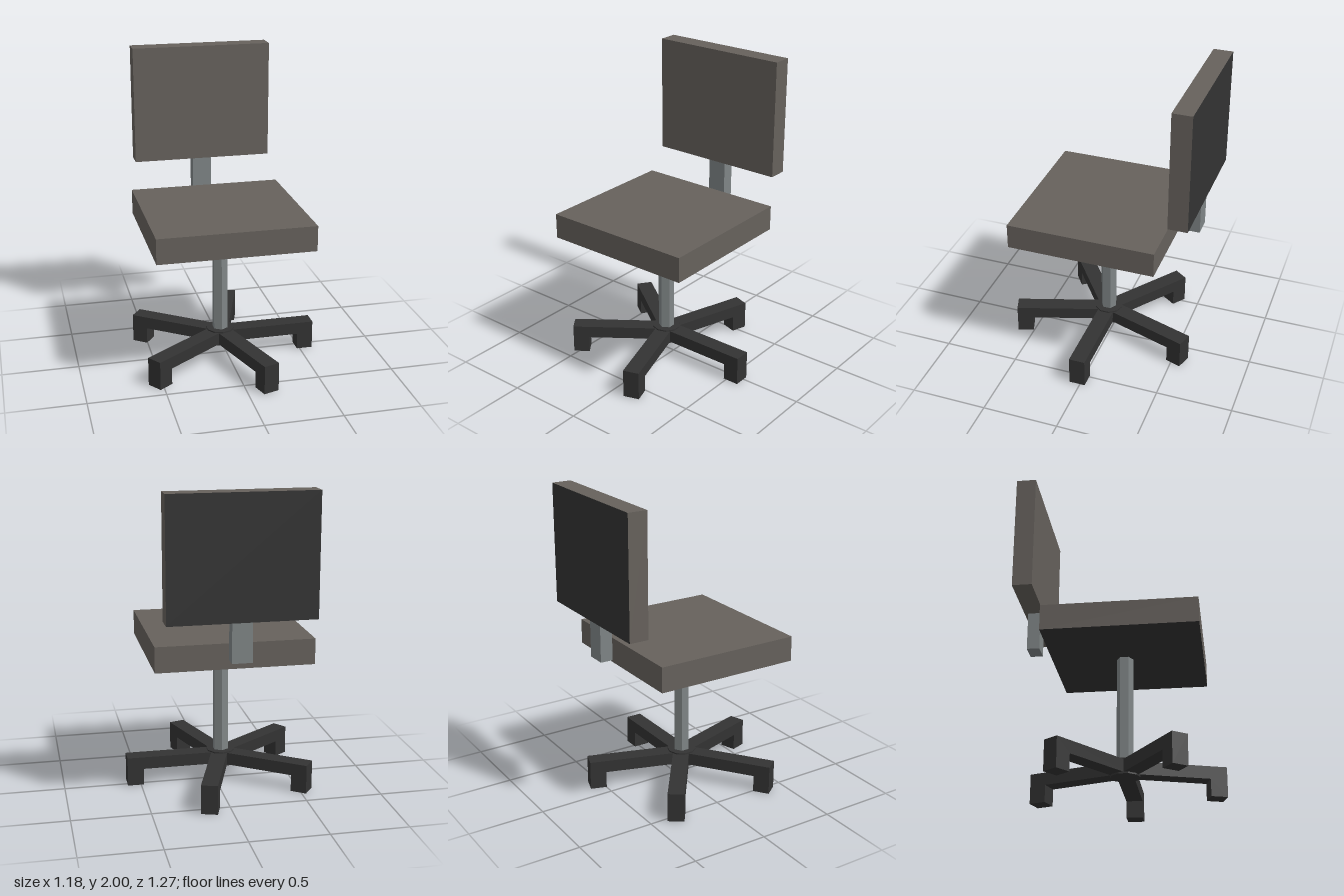
import * as THREE from 'three';

const mat = (name, color) => {
  const m = new THREE.MeshStandardMaterial({ color });
  m.name = name;
  m.flatShading = true;
  return m;
};

export function createModel() {
  const fabric = mat('taupe upholstery', 0x66615c);
  const plastic = mat('dark plastic', 0x333333);
  const metal = mat('grey metal', 0x7f8586);

  const chair = new THREE.Group();
  chair.name = 'officeChair';

  const add = (parent, name, geometry, material, x, y, z) => {
    const mesh = new THREE.Mesh(geometry, material);
    mesh.name = name;
    mesh.position.set(x, y, z);
    parent.add(mesh);
    return mesh;
  };
  // box given by its lower and upper corners
  const box = (parent, name, material, [x0, y0, z0], [x1, y1, z1]) =>
    add(parent, name, new THREE.BoxGeometry(x1 - x0, y1 - y0, z1 - z0), material,
      (x0 + x1) / 2, (y0 + y1) / 2, (z0 + z1) / 2);

  // cushions: seat has a dark underside, backrest a dark rear panel
  box(chair, 'seat', [fabric, fabric, fabric, plastic, fabric, fabric],
    [-0.55, 0.89, -0.444], [0.458, 1.055, 0.523]);
  box(chair, 'backrest', [fabric, fabric, fabric, fabric, fabric, plastic],
    [-0.508, 1.228, -0.636], [0.416, 2, -0.51]);
  box(chair, 'backrestBracket', metal, [-0.11, 0.973, -0.612], [0.017, 1.24, -0.53]);

  // swivel base around the column axis
  const base = new THREE.Group();
  base.name = 'base';
  base.position.set(-0.046, 0, 0.02);
  chair.add(base);
  add(base, 'column', new THREE.CylinderGeometry(0.053, 0.053, 0.75, 6), metal, 0, 0.52, 0);
  add(base, 'hub', new THREE.CylinderGeometry(0.094, 0.094, 0.1, 10), plastic, 0, 0.15, 0);

  // five L-shaped legs, profile extruded across the leg width
  const profile = new THREE.Shape([
    [0, 0.11], [0.527, 0.11], [0.527, 0], [0.633, 0], [0.633, 0.191], [0, 0.191],
  ].map(([x, y]) => new THREE.Vector2(x, y)));
  const legGeometry = new THREE.ExtrudeGeometry(profile, { depth: 0.106, bevelEnabled: false });
  legGeometry.translate(0, 0, -0.053);
  for (let i = 0; i < 5; i++) {
    const leg = add(base, 'leg' + (i + 1), legGeometry, plastic, 0, 0, 0);
    leg.rotation.y = (i * Math.PI * 2) / 5;
  }
  return chair;
}
